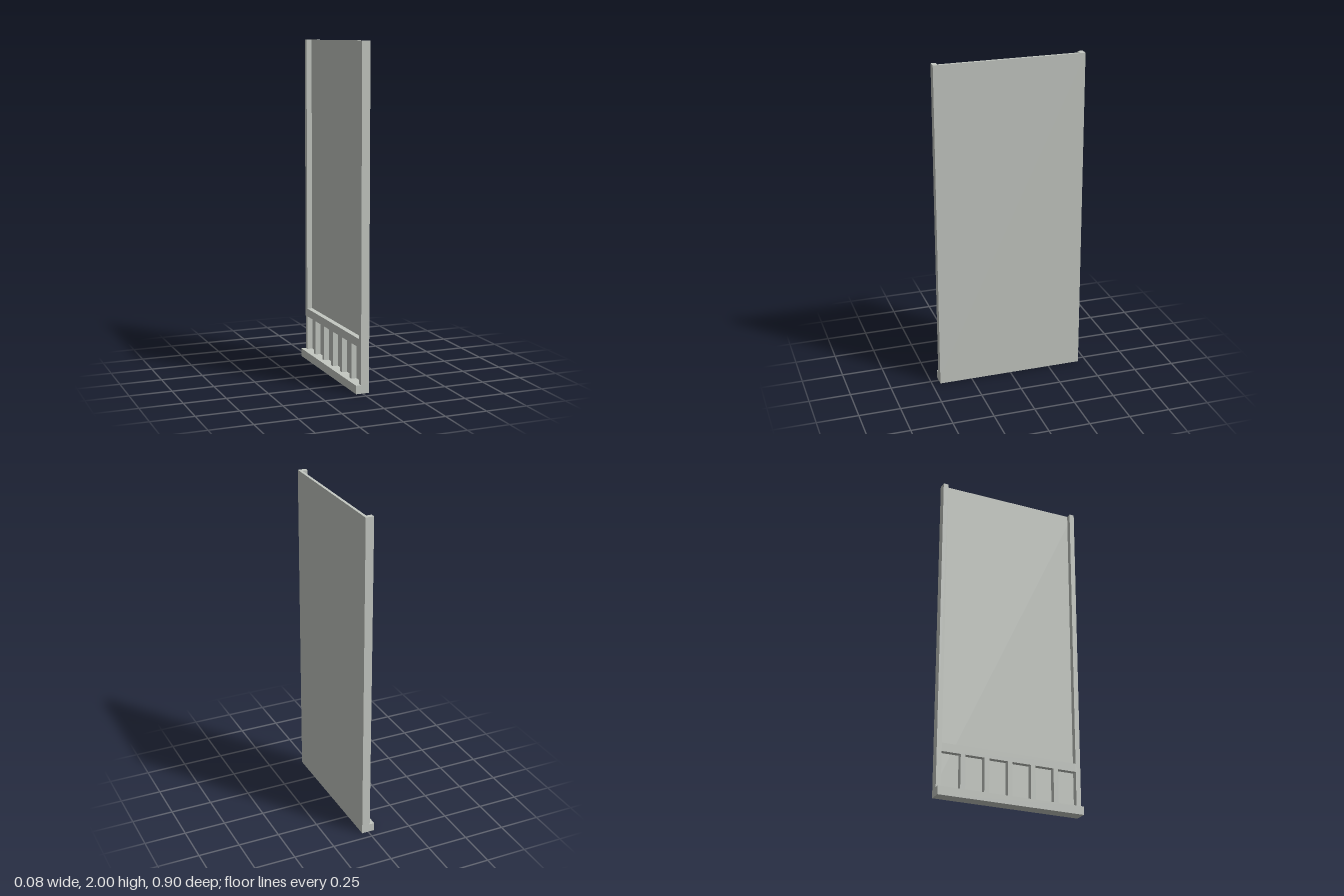
import * as THREE from 'three';

export function createModel() {
  const group = new THREE.Group();
  const panelGrey = new THREE.MeshStandardMaterial({ color: 0xc4c8c2 });

  // Box given by its lower and upper limits on each axis
  const addBox = (name, [x0, x1], [y0, y1], [z0, z1]) => {
    const mesh = new THREE.Mesh(new THREE.BoxGeometry(x1 - x0, y1 - y0, z1 - z0), panelGrey);
    mesh.name = name;
    mesh.position.set((x0 + x1) / 2, (y0 + y1) / 2, (z0 + z1) / 2);
    group.add(mesh);
  };

  const frameDepth = [-0.01, 0.023];
  const baseTop = 0.05, railBottom = 0.263, railTop = 0.313;
  const halfWidth = 0.45, inner = 0.42;

  // Full-width foot and the flat sheet behind the frame
  addBox('baseRail', [-0.04, 0.04], [0, baseTop], [-halfWidth, halfWidth]);
  addBox('backSheet', [0.023, 0.04], [baseTop, 2], [-halfWidth, halfWidth]);

  // Side posts, open at the top
  addBox('frontPost', frameDepth, [baseTop, 2], [inner, halfWidth]);
  addBox('backPost', frameDepth, [baseTop, 2], [-halfWidth, -inner]);

  // Middle rail
  addBox('middleRail', frameDepth, [railBottom, railTop], [-inner, inner]);

  // Five evenly spaced slats below the rail
  const count = 5, slat = 0.03;
  const gap = (2 * inner - count * slat) / (count + 1);
  for (let i = 0; i < count; i++) {
    const z = -inner + gap + i * (gap + slat);
    addBox('slat' + (i + 1), frameDepth, [baseTop, railBottom], [z, z + slat]);
  }

  return group;
}
